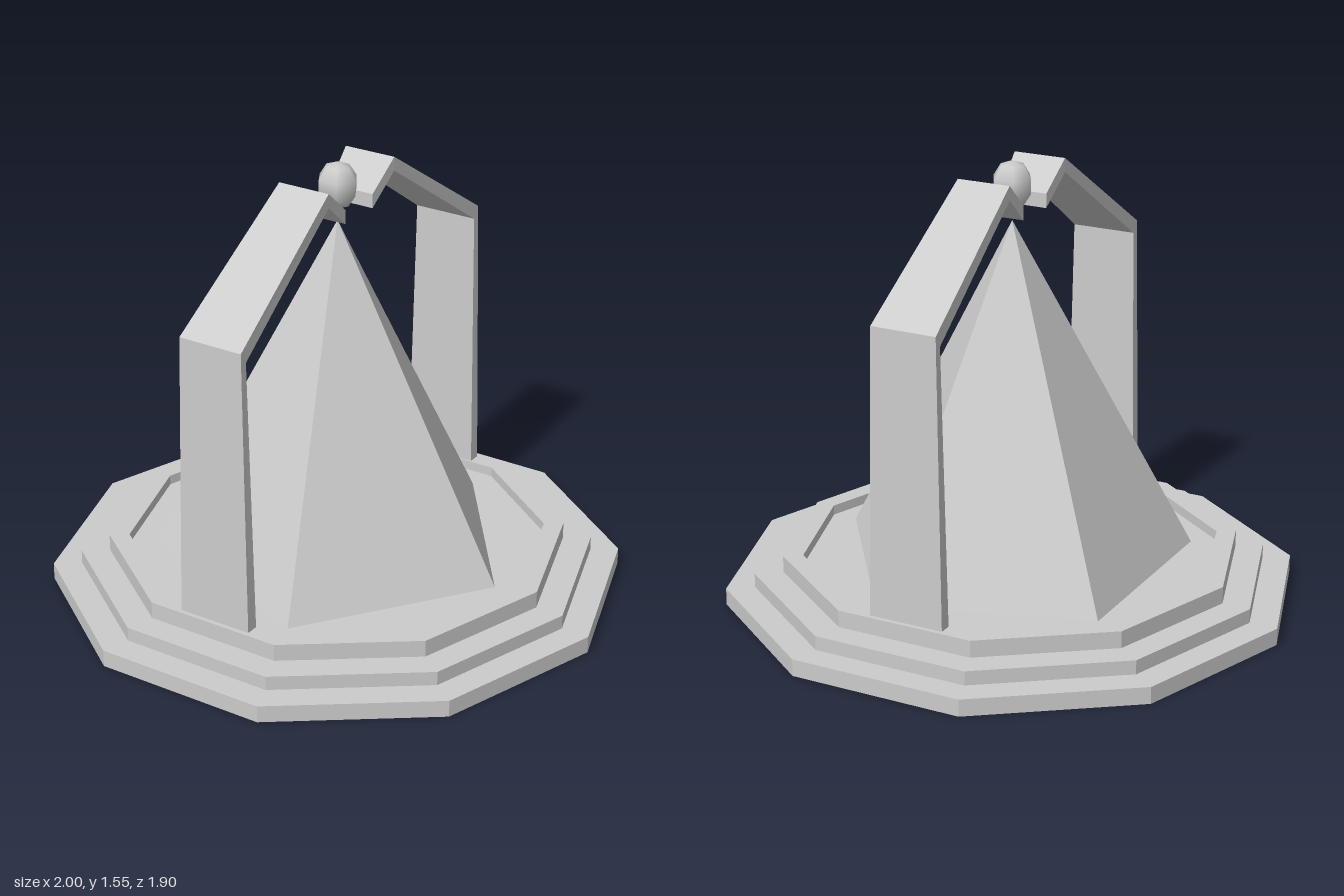
import * as THREE from 'three';

const grey = new THREE.MeshStandardMaterial({ color: 0xcccccc, flatShading: true });
const greyThin = new THREE.MeshStandardMaterial({ color: 0xcccccc, flatShading: true, side: THREE.DoubleSide });
const greySmooth = new THREE.MeshStandardMaterial({ color: 0xcccccc });

function part(name, geometry, material = grey) {
  const mesh = new THREE.Mesh(geometry, material);
  mesh.name = name;
  return mesh;
}

// Bent strut: four-cornered sections joined in a row and capped at both ends.
// Each section: half width, outer z, outer y, inner z, inner y
function strutGeometry(sections) {
  const positions = [];
  const index = [];
  for (const [w, oz, oy, iz, iy] of sections) {
    positions.push(w, oy, oz, -w, oy, oz, -w, iy, iz, w, iy, iz);
  }
  const quad = (a, b, c, d) => index.push(a, b, c, a, c, d);
  for (let s = 0; s < sections.length - 1; s++) {
    for (let j = 0; j < 4; j++) {
      const a = s * 4 + j, b = s * 4 + (j + 1) % 4;
      quad(b, a, a + 4, b + 4);
    }
  }
  const e = (sections.length - 1) * 4;
  quad(0, 1, 2, 3);
  quad(e + 3, e + 2, e + 1, e);
  const g = new THREE.BufferGeometry();
  g.setAttribute('position', new THREE.Float32BufferAttribute(positions, 3));
  g.setIndex(index);
  const flat = g.toNonIndexed();
  flat.computeVertexNormals();
  return flat;
}

export function createModel() {
  const model = new THREE.Group();
  model.name = 'pyramidMonument';

  // Ten-sided stepped base: an open shell with a sunken floor
  const profile = [
    [0, 0.135], [0.73, 0.135], [0.73, 0.17], [0.8, 0.17], [0.8, 0.11],
    [0.9, 0.11], [0.9, 0.06], [1, 0.06], [1, 0],
  ].reverse().map(([r, y]) => new THREE.Vector2(r, y));
  const base = new THREE.LatheGeometry(profile, 10).rotateY(Math.PI / 2);
  model.add(part('steppedBase', base, greyThin));

  // Five-sided pyramid with one corner towards +x
  const bottom = 0.137, apex = 1.343;
  const pyramid = new THREE.ConeGeometry(0.638, apex - bottom, 5, 1)
    .rotateY(Math.PI / 2)
    .translate(0, (apex + bottom) / 2, 0);
  model.add(part('pyramid', pyramid));

  // Two tapering struts, front and back, bending in over the apex
  const strut = strutGeometry([
    [0.135, 0.745, 0.17, 0.7, 0.17],
    [0.118, 0.735, 1.17, 0.708, 1.13],
    [0.096, 0.2, 1.522, 0.2, 1.473],
    [0.085, 0.083, 1.425, 0.083, 1.375],
  ]);
  ['frontStrut', 'backStrut'].forEach((name, i) => {
    const mesh = part(name, strut);
    mesh.rotation.y = i * Math.PI;
    model.add(mesh);
  });

  // Small faceted orb floating over the apex
  const orb = new THREE.SphereGeometry(1, 6, 5)
    .scale(0.0736, 0.083, 0.0736)
    .translate(0, 1.467, 0);
  model.add(part('orb', orb, greySmooth));

  return model;
}
